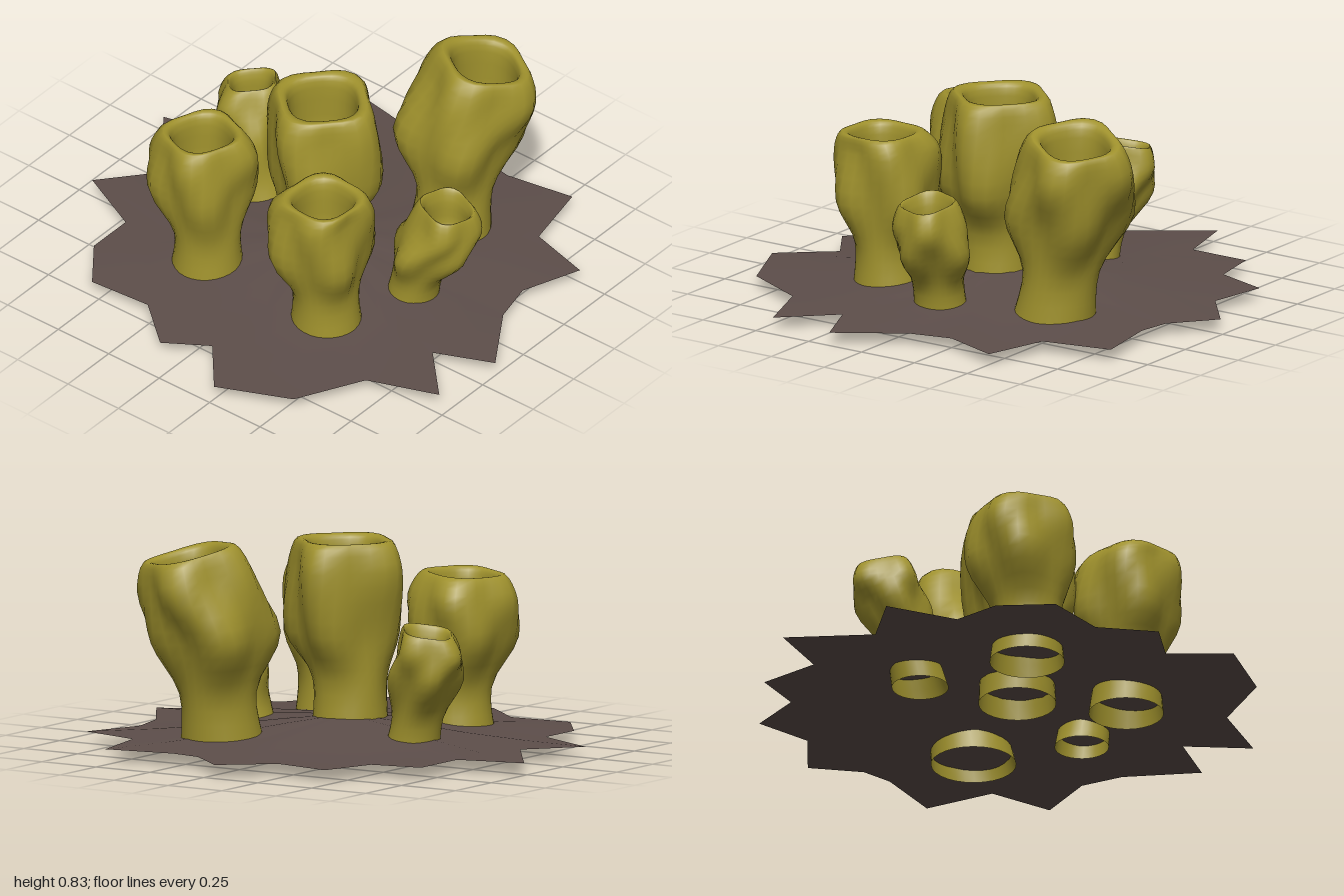
import * as THREE from 'three';

const SIDES = 28;

// Builds an indexed surface from rows of points; every row is a closed loop.
function loftRows(rows) {
  const n = rows[0].length, pos = [], idx = [];
  rows.forEach(row => row.forEach(p => pos.push(p.x, p.y, p.z)));
  for (let i = 0; i < rows.length - 1; i++) {
    for (let j = 0; j < n; j++) {
      const a = i * n + j, c = i * n + (j + 1) % n;
      idx.push(a, a + n, c, c, a + n, c + n);
    }
  }
  const geo = new THREE.BufferGeometry();
  geo.setAttribute('position', new THREE.Float32BufferAttribute(pos, 3));
  geo.setIndex(idx);
  geo.computeVertexNormals();
  return geo;
}

// Hollow tube: rings are [y, x, z, radius, squareness, corner angle], foot to rim.
function tubeGeometry({ rings, hole, depth, tilt = [0, 0] }) {
  const [topY, topX, topZ, , , topRot] = rings[rings.length - 1];
  const footY = rings[0][0];
  const all = [
    ...rings,
    [topY - 0.005, topX, topZ, hole + 0.015, 0.05, topRot],
    [topY - 0.05, topX, topZ, hole, 0.03, topRot],
    [topY - depth, topX, topZ, hole * 0.85, 0, 0],
    [topY - depth - 0.02, topX, topZ, 0.001, 0, 0],
  ];
  const columns = [];
  for (let j = 0; j < SIDES; j++) {
    const t = (j / SIDES) * Math.PI * 2;
    const points = all.map(([y, x, z, r, square = 0, rot = 0]) => {
      const rr = r * (1 + square * Math.cos(4 * (t - rot)));
      const dx = rr * Math.cos(t), dz = rr * Math.sin(t);
      const k = (y - footY) / (topY - footY);
      return new THREE.Vector3(x + dx, y + k * k * (dx * tilt[0] + dz * tilt[1]), z + dz);
    });
    columns.push(new THREE.CatmullRomCurve3(points).getPoints((all.length - 1) * 4));
  }
  return loftRows(columns[0].map((_, i) => columns.map(col => col[i])));
}

const TUBES = {
  centreTube: {
    hole: 0.135, depth: 0.3,
    rings: [
      [0.04, 0.02, 0.05, 0.15], [0.27, 0.02, 0.05, 0.145],
      [0.45, 0.05, 0.04, 0.2, 0.15, -0.3], [0.7, 0.03, 0.03, 0.215, 0.14, -0.05],
      [0.81, 0.03, 0.03, 0.185, 0.08, -0.05]],
  },
  frontRightTube: {
    hole: 0.112, depth: 0.25, tilt: [0.05, 0],
    rings: [
      [0.02, -0.28, 0.355, 0.145], [0.22, -0.28, 0.355, 0.13],
      [0.42, -0.31, 0.35, 0.185, 0.15, 0.85], [0.58, -0.31, 0.34, 0.19, 0.13, -0.4],
      [0.67, -0.31, 0.35, 0.15, 0.08, -0.4]],
  },
  frontLeftTube: {
    hole: 0.11, depth: 0.25,
    rings: [
      [0.01, 0.31, 0.355, 0.145], [0.22, 0.31, 0.36, 0.13],
      [0.4, 0.3, 0.37, 0.185, 0.15, 0.55], [0.6, 0.3, 0.375, 0.182, 0.13, 0.95],
      [0.67, 0.32, 0.385, 0.15, 0.08, 0.85]],
  },
  backLeftTube: {
    hole: 0.125, depth: 0.3, tilt: [-0.18, 0.15],
    rings: [
      [0.02, 0.3, -0.41, 0.165], [0.25, 0.3, -0.45, 0.15],
      [0.47, 0.29, -0.48, 0.22, 0.15, 0.85], [0.68, 0.34, -0.54, 0.21, 0.14, -0.25],
      [0.8, 0.36, -0.56, 0.17, 0.08, -0.25]],
  },
  smallRightTube: {
    hole: 0.075, depth: 0.16, tilt: [0.2, 0.05],
    rings: [
      [0.02, -0.37, -0.11, 0.11], [0.17, -0.41, -0.125, 0.1],
      [0.33, -0.47, -0.16, 0.13, 0.15, 0.8], [0.44, -0.5, -0.175, 0.132, 0.12, 0.15],
      [0.52, -0.5, -0.19, 0.1, 0.08, 0.15]],
  },
  smallLeftTube: {
    hole: 0.078, depth: 0.16, tilt: [-0.2, 0],
    rings: [
      [0.02, 0.45, 0.01, 0.105], [0.16, 0.48, 0.005, 0.1],
      [0.3, 0.53, -0.01, 0.145, 0.15, 0.1], [0.43, 0.59, -0.03, 0.13, 0.12, -0.5],
      [0.52, 0.6, -0.03, 0.1, 0.08, -0.5]],
  },
};

// Jagged outline of the ground patch as x, z pairs.
const OUTLINE = [
  [-0.03, -0.97], [0.14, -0.83], [0.27, -0.81], [0.55, -0.86], [0.61, -0.58],
  [0.87, -0.51], [0.78, -0.27], [0.82, -0.1], [0.99, 0.16], [0.76, 0.26],
  [0.95, 0.455], [0.67, 0.56], [0.53, 0.83], [0.24, 0.96], [0.07, 0.76],
  [-0.1, 0.87], [-0.29, 0.71], [-0.55, 0.73], [-0.69, 0.545], [-0.69, 0.35],
  [-0.96, 0.22], [-0.79, 0.02], [-1, -0.27], [-0.735, -0.34], [-0.735, -0.59],
  [-0.53, -0.63], [-0.46, -0.85], [-0.22, -0.81]];

// Low mound: the outline shrinks towards the middle while it rises.
function groundGeometry() {
  const levels = [[1, 0.058], [0.75, 0.07], [0.5, 0.088], [0.25, 0.115], [0.001, 0.135]];
  return loftRows(levels.map(([k, y]) =>
    OUTLINE.map(([x, z]) => new THREE.Vector3(x * k, y, z * k))));
}

export function createModel() {
  const group = new THREE.Group();
  group.name = 'tubeSponge';
  const sponge = new THREE.MeshStandardMaterial({ color: 0xa0922d, side: THREE.DoubleSide });
  sponge.name = 'olive yellow';
  const rock = new THREE.MeshStandardMaterial({ color: 0x5d4e4a, side: THREE.DoubleSide });
  rock.name = 'brown grey';

  const ground = new THREE.Mesh(groundGeometry(), rock);
  ground.name = 'groundPatch';
  group.add(ground);

  for (const [name, spec] of Object.entries(TUBES)) {
    const tube = new THREE.Mesh(tubeGeometry(spec), sponge);
    tube.name = name;
    group.add(tube);
  }
  return group;
}
